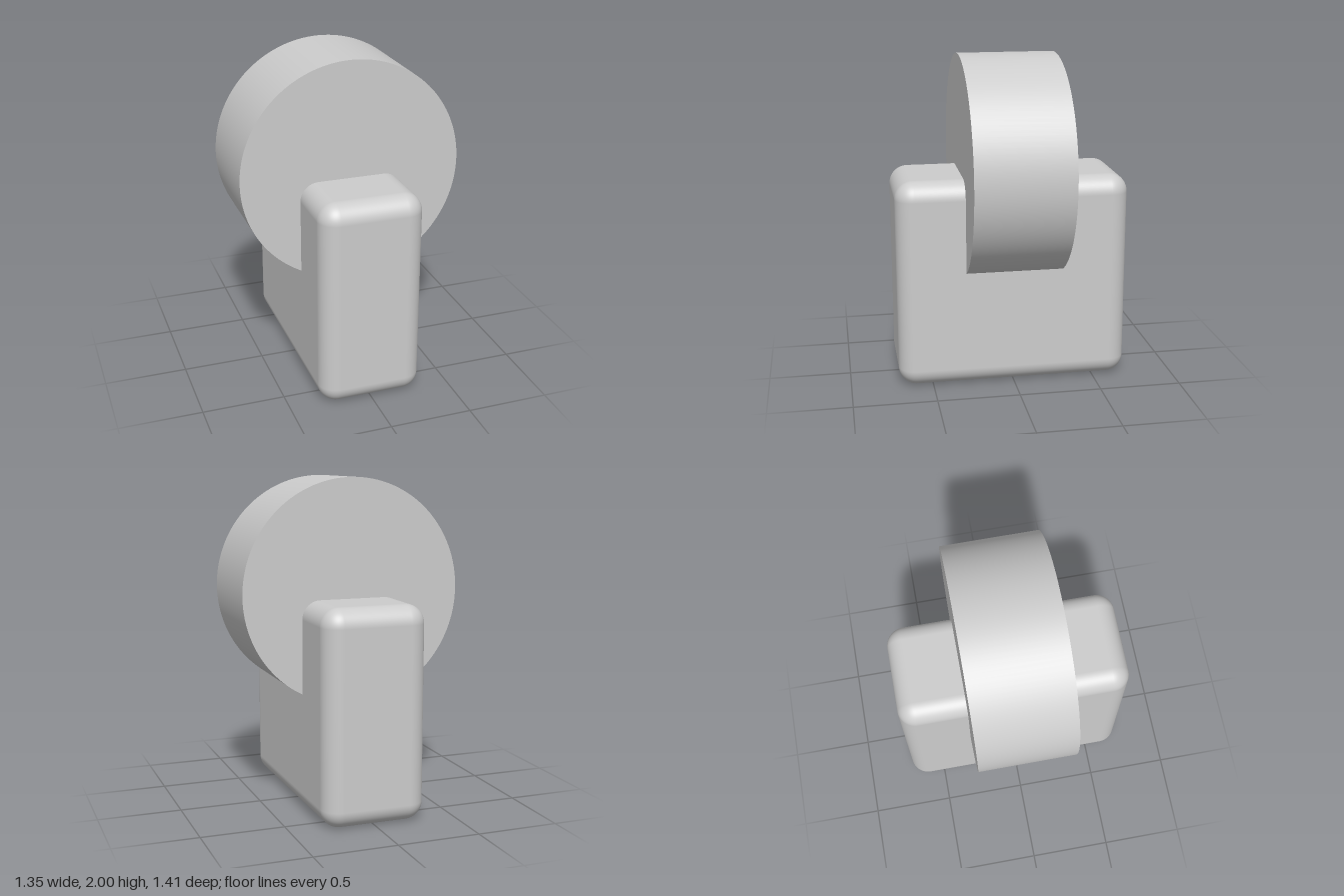
import * as THREE from 'three';
import { RoundedBoxGeometry } from 'three/addons/geometries/RoundedBoxGeometry.js';

export function createModel() {
  const model = new THREE.Group();
  model.name = 'rollerBlock';

  const grey = new THREE.MeshStandardMaterial({ color: 0xcccccc });
  grey.name = 'plain grey';

  // Upright block with rounded edges
  const height = 1.285;
  const block = new THREE.Mesh(new RoundedBoxGeometry(0.632, height, 1.415, 8, 0.112), grey);
  block.name = 'block';
  block.position.y = height / 2;
  model.add(block);

  // Thick disc set across the middle of the block, axis front to back
  const radius = 0.676;
  const discGeometry = new THREE.CylinderGeometry(radius, radius, 0.59, 128);
  discGeometry.rotateX(Math.PI / 2);
  const disc = new THREE.Mesh(discGeometry, grey);
  disc.name = 'disc';
  disc.position.y = 2 - radius;
  model.add(disc);

  return model;
}
